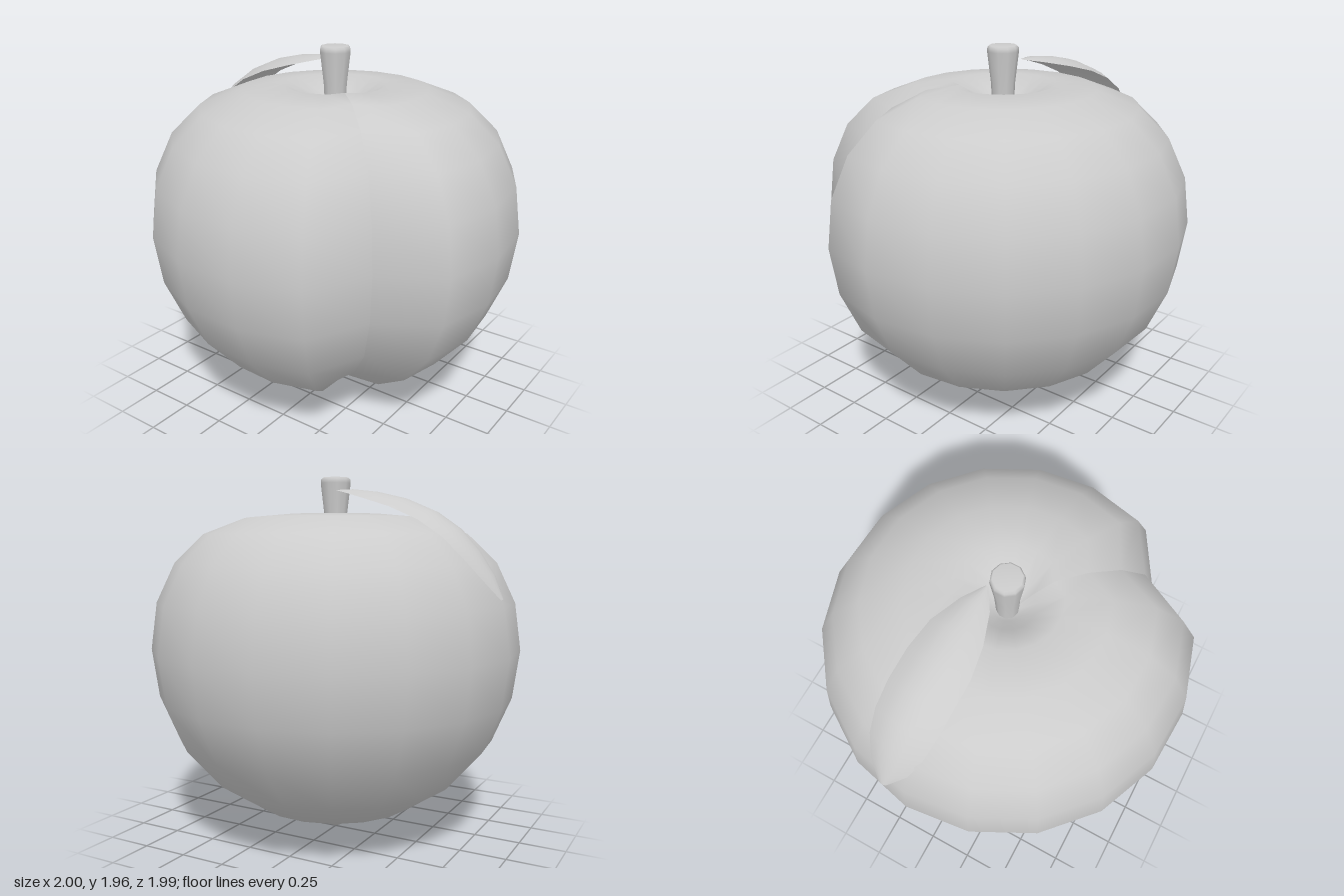
import * as THREE from 'three';

const grey = () => new THREE.MeshStandardMaterial({ color: 0xcccccc, side: THREE.DoubleSide });
const vectors = (list) => list.map(([x, y]) => new THREE.Vector2(x, y));

// Fruit: 18-sided lathe whose first and last columns are pulled in to form the cleft
function createFruit() {
  // radius, height, cleft radius
  const rows = [
    [0, 0, 0], [0.23, 0.11, 0.13], [0.45, 0.18, 0.29], [0.68, 0.335, 0.51],
    [0.865, 0.55, 0.71], [0.965, 0.79, 0.81], [1, 1.05, 0.84], [0.965, 1.3, 0.81],
    [0.865, 1.51, 0.73], [0.71, 1.66, 0.58], [0.49, 1.745, 0.4], [0.27, 1.765, 0.23],
    [0.14, 1.69, 0.125], [0.07, 1.63, 0.065], [0, 1.62, 0],
  ];
  const sides = 18;
  const cleftAngle = THREE.MathUtils.degToRad(47);
  const geometry = new THREE.LatheGeometry(vectors(rows), sides, cleftAngle);
  const pos = geometry.attributes.position;
  rows.forEach(([, y, r], j) => {
    for (const column of [0, sides]) {
      pos.setXYZ(column * rows.length + j, r * Math.sin(cleftAngle), y, r * Math.cos(cleftAngle));
    }
  });
  // The cleft columns stay unmerged, so the cleft is a crease; the poles are smooth
  geometry.computeVertexNormals();
  for (let i = 0; i <= sides; i++) {
    geometry.attributes.normal.setXYZ(i * rows.length, 0, -1, 0);
    geometry.attributes.normal.setXYZ((i + 1) * rows.length - 1, 0, 1, 0);
  }
  const fruit = new THREE.Mesh(geometry, grey());
  fruit.name = 'fruit';
  return fruit;
}

// Stem: flared peg with a bevelled top
function createStem() {
  const profile = [[0.055, 1.6], [0.063, 1.77], [0.082, 1.93], [0.08, 1.95], [0.07, 1.96], [0, 1.96]];
  const stem = new THREE.Mesh(new THREE.LatheGeometry(vectors(profile), 10), grey());
  stem.name = 'stem';
  return stem;
}

// Leaf: thin arched blade that droops along a curve
function createLeaf() {
  // x, height of the midrib, back edge z, front edge z
  const stations = [
    [-0.05, 1.89, -0.085, -0.07], [-0.15, 1.89, -0.16, -0.01], [-0.3, 1.872, -0.235, 0.035],
    [-0.46, 1.835, -0.27, 0.055], [-0.62, 1.77, -0.287, 0.045], [-0.75, 1.685, -0.292, 0.03],
    [-0.85, 1.58, -0.28, 0.005], [-0.93, 1.465, -0.24, -0.04], [-0.985, 1.35, -0.17, -0.13],
  ];
  const across = 6;
  const geometry = new THREE.PlaneGeometry(1, 1, across, stations.length - 1);
  const pos = geometry.attributes.position;
  stations.forEach(([x, y, back, front], j) => {
    for (let i = 0; i <= across; i++) {
      const t = i / across;
      const drop = 0.15 * (front - back) * (2 * t - 1) ** 2;
      // The drop follows the blade's normal, which tilts outward near the tip
      const tilt = (j / (stations.length - 1)) * 0.9;
      pos.setXYZ(
        j * (across + 1) + i,
        x + drop * Math.sin(tilt),
        y - drop * Math.cos(tilt),
        THREE.MathUtils.lerp(front, back, t),
      );
    }
  });
  // Turn the faces so the upper side is the front
  const index = geometry.index;
  for (let k = 0; k < index.count; k += 3) {
    const first = index.getX(k);
    index.setX(k, index.getX(k + 2));
    index.setX(k + 2, first);
  }
  geometry.computeVertexNormals();
  if (geometry.attributes.normal.getY(3 * (across + 1) + 3) < 0) {
    index.array.reverse();
    geometry.computeVertexNormals();
  }
  const leaf = new THREE.Mesh(geometry, grey());
  leaf.name = 'leaf';
  return leaf;
}

export function createModel() {
  const model = new THREE.Group();
  model.name = 'stoneFruit';
  model.add(createFruit(), createStem(), createLeaf());
  return model;
}
